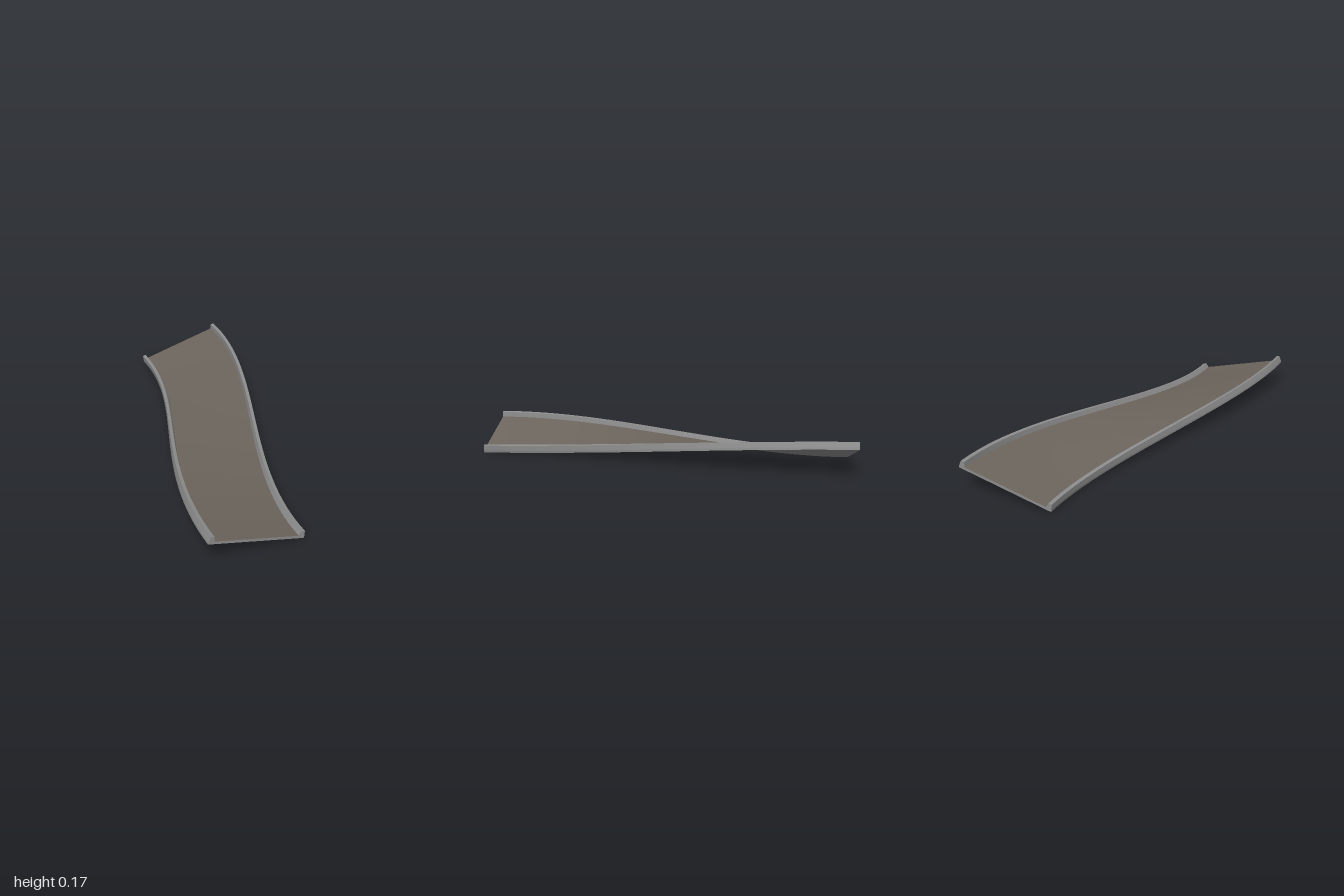
import * as THREE from 'three';

const SEGMENTS = 40;
const BANK = 0.254; // tilt at each end, in radians

// Places a cross-section point (u across, v up) at distance z along the S-bend
function place([u, v], z) {
  const f = (3 * z - z ** 3) / 2;
  const a = BANK * f;
  return [
    -0.25 * f + u * Math.cos(a) + v * Math.sin(a),
    0.065 - u * Math.sin(a) + v * Math.cos(a),
    z,
  ];
}

// Sweeps edges of an anticlockwise profile from z = 1 to z = -1
function sweep(profile, edges, capped) {
  const pos = [], index = [];
  for (const e of edges) {
    const p = profile[e], q = profile[(e + 1) % profile.length];
    const base = pos.length / 3;
    for (let i = 0; i <= SEGMENTS; i++) {
      const z = 1 - (2 * i) / SEGMENTS;
      pos.push(...place(p, z), ...place(q, z));
      if (i === SEGMENTS) continue;
      const a = base + 2 * i;
      index.push(a, a + 2, a + 1, a + 1, a + 2, a + 3);
    }
  }
  if (capped) {
    const faces = THREE.ShapeUtils.triangulateShape(profile.map((p) => new THREE.Vector2(...p)), []);
    for (const z of [1, -1]) {
      const base = pos.length / 3;
      for (const p of profile) pos.push(...place(p, z));
      for (const [a, b, c] of faces) {
        index.push(base + a, base + (z > 0 ? b : c), base + (z > 0 ? c : b));
      }
    }
  }
  const geometry = new THREE.BufferGeometry();
  geometry.setAttribute('position', new THREE.Float32BufferAttribute(pos, 3));
  geometry.setIndex(index);
  geometry.computeVertexNormals();
  return geometry;
}

export function createModel() {
  const group = new THREE.Group();
  group.name = 'bankedRoad';
  const concrete = new THREE.MeshStandardMaterial({ color: 0x8c8c8c });
  concrete.name = 'concreteGrey';
  const asphalt = new THREE.MeshStandardMaterial({ color: 0x6c655d });
  asphalt.name = 'roadBrownGrey';

  const add = (name, geometry, material) => {
    const mesh = new THREE.Mesh(geometry, material);
    mesh.name = name;
    group.add(mesh);
  };

  // Slab with the driving surface as its top face
  const slab = [[-0.226, 0], [0.226, 0], [0.226, 0.014], [-0.226, 0.014]];
  add('slab', sweep(slab, [0, 1, 3], true), concrete);
  add('roadSurface', sweep(slab, [2], false), asphalt);

  // Raised kerbs along both edges
  const kerb = [[0.226, 0], [0.258, 0], [0.258, 0.012], [0.253, 0.04], [0.235, 0.04], [0.226, 0.014]];
  const mirrored = kerb.map(([u, v]) => [-u, v]).reverse();
  const all = kerb.map((_, i) => i);
  add('leftKerb', sweep(kerb, all, true), concrete);
  add('rightKerb', sweep(mirrored, all, true), concrete);
  return group;
}
